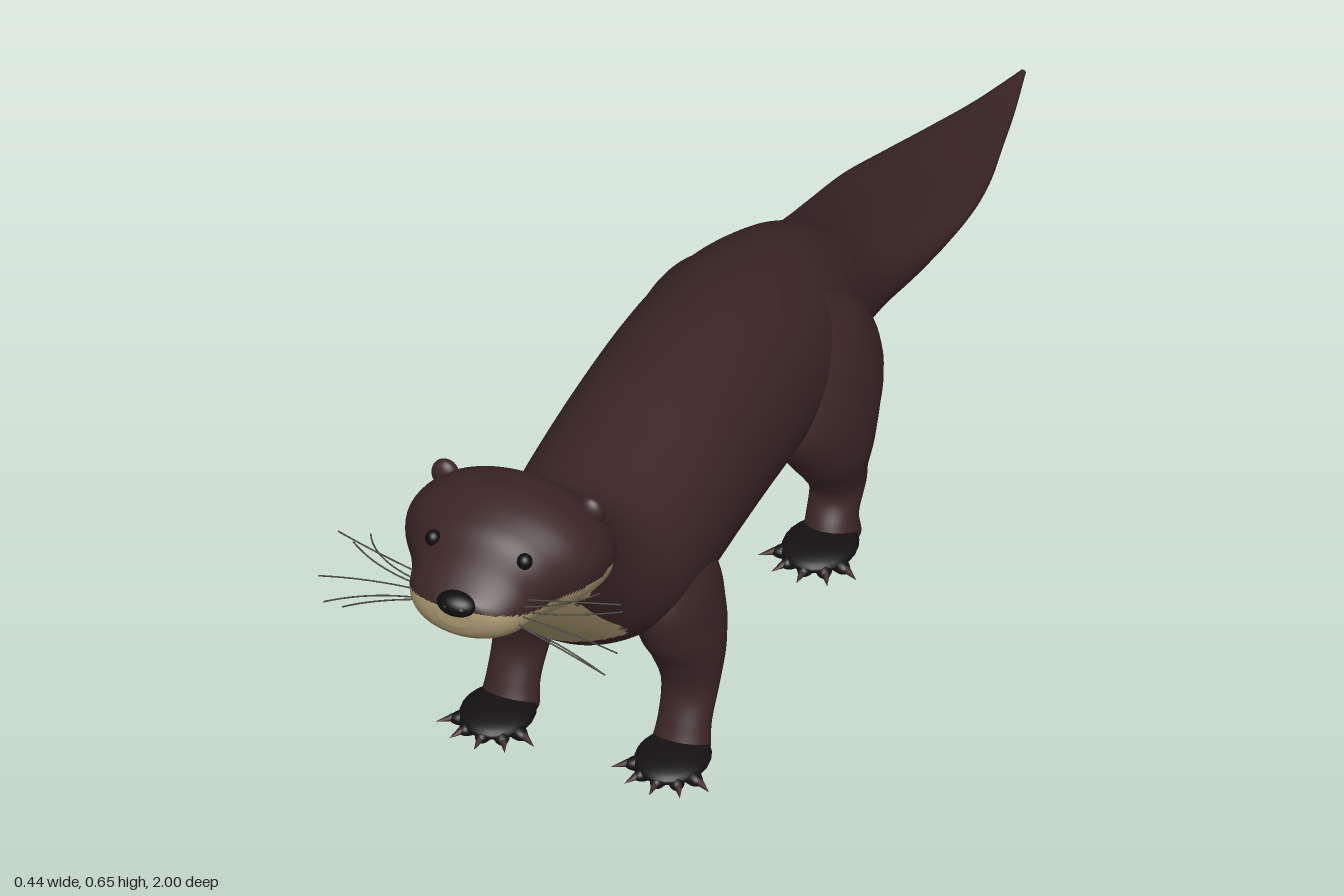
import * as THREE from 'three';

const mat = (name, color) => {
  const m = new THREE.MeshStandardMaterial({ color });
  m.name = name;
  return m;
};

// Smooth loft through elliptical sections [x, y, z, radiusX, radius2].
// plane 'xy': sections follow +z; plane 'xz': sections follow +y.
// pick(x, y, z) chooses the material index of each face.
function loft(sections, plane, rings, sides, pick = () => 0) {
  const centre = new THREE.CatmullRomCurve3(sections.map(s => new THREE.Vector3(s[0], s[1], s[2])), false, 'catmullrom');
  const radius = new THREE.CatmullRomCurve3(sections.map(s => new THREE.Vector3(s[3], s[4], 0)), false, 'catmullrom');
  const pos = [];
  for (let i = 0; i <= rings; i++) {
    const c = centre.getPoint(i / rings), r = radius.getPoint(i / rings);
    for (let j = 0; j < sides; j++) {
      const a = (j / sides) * Math.PI * 2;
      const u = Math.cos(a) * r.x, v = Math.sin(a) * r.y;
      if (plane === 'xy') pos.push(c.x + u, c.y + v, c.z);
      else pos.push(c.x + u, c.y, c.z - v);
    }
  }
  const first = pos.length / 3, last = first + 1;
  pos.push(...sections[0].slice(0, 3), ...sections[sections.length - 1].slice(0, 3));

  const faces = [[], []];
  const tri = (...ids) => {
    const mid = [0, 1, 2].map(k => ids.reduce((sum, id) => sum + pos[id * 3 + k], 0) / 3);
    faces[pick(...mid)].push(...ids);
  };
  for (let j = 0; j < sides; j++) {
    const n = (j + 1) % sides, end = rings * sides;
    for (let i = 0; i < rings; i++) {
      const a = i * sides + j, b = i * sides + n;
      tri(a, b, a + sides);
      tri(b, b + sides, a + sides);
    }
    tri(first, n, j);
    tri(last, end + j, end + n);
  }
  const geo = new THREE.BufferGeometry();
  geo.setAttribute('position', new THREE.Float32BufferAttribute(pos, 3));
  geo.setIndex([...faces[0], ...faces[1]]);
  geo.addGroup(0, faces[0].length, 0);
  geo.addGroup(faces[0].length, faces[1].length, 1);
  geo.computeVertexNormals();
  return geo;
}

// Profile rows [z, top, bottom, halfWidth] to loft sections
const profile = rows => rows.map(([z, t, b, w]) => [0, (t + b) / 2, z, w, (t - b) / 2]);

export function createModel() {
  const model = new THREE.Group();
  model.name = 'otter';
  const fur = mat('dark brown fur', 0x3b2526);
  const cream = mat('cream fur', 0xa8976f);
  const paw = mat('black paw', 0x131112);
  const black = mat('black nose and eyes', 0x0d0d0e);
  const hair = mat('grey whisker', 0x4a4942);

  const add = (name, geo, material, parent = model) => {
    const m = new THREE.Mesh(geo, material);
    m.name = name;
    parent.add(m);
    return m;
  };
  const ball = (name, material, p, s, parent) => {
    const m = add(name, new THREE.SphereGeometry(1, 24, 16), material, parent);
    m.position.set(...p);
    m.scale.set(...s);
    return m;
  };

  // Tail, trunk and neck in one skin, with a cream bib on the throat
  const bib = (x, y, z) => {
    const front = z > 0.6 && y > 0.27 && y < 0.29 + (z - 0.62);
    return (front && Math.abs(x - 0.01) < 0.097) || (z > 0.75 && y > 0.44 && y < 0.53) ? 1 : 0;
  };
  add('body', loft(profile([
    [-1, 0.076, 0.068, 0.004], [-0.9, 0.092, 0.072, 0.03], [-0.8, 0.115, 0.088, 0.055],
    [-0.7, 0.14, 0.106, 0.08], [-0.6, 0.172, 0.126, 0.098], [-0.5, 0.21, 0.134, 0.104],
    [-0.4, 0.255, 0.14, 0.104], [-0.3, 0.31, 0.146, 0.1], [-0.2, 0.378, 0.15, 0.108],
    [-0.1, 0.42, 0.153, 0.13], [0, 0.444, 0.156, 0.143], [0.1, 0.458, 0.158, 0.146],
    [0.2, 0.464, 0.16, 0.146], [0.3, 0.462, 0.161, 0.146], [0.4, 0.45, 0.166, 0.146],
    [0.5, 0.44, 0.182, 0.141], [0.55, 0.448, 0.198, 0.134], [0.6, 0.478, 0.225, 0.124],
    [0.65, 0.525, 0.266, 0.115], [0.7, 0.573, 0.313, 0.112], [0.75, 0.612, 0.37, 0.11],
    [0.79, 0.62, 0.425, 0.1], [0.83, 0.6, 0.475, 0.05],
  ]), 'xy', 190, 72, bib), [fur, cream]);

  // Head with cream cheeks, muzzle and chin
  const cheeks = (x, y, z) => (z > 0.77 && y < 0.532 + 0.33 * Math.max(0, z - 0.91) ? 1 : 0);
  add('head', loft(profile([
    [0.64, 0.5, 0.42, 0.06], [0.7, 0.573, 0.42, 0.112], [0.75, 0.628, 0.43, 0.14],
    [0.8, 0.645, 0.445, 0.146], [0.84, 0.643, 0.458, 0.136], [0.88, 0.63, 0.468, 0.111],
    [0.91, 0.613, 0.474, 0.096], [0.94, 0.597, 0.483, 0.087], [0.965, 0.582, 0.496, 0.071],
    [0.98, 0.572, 0.511, 0.05], [0.987, 0.56, 0.528, 0.025],
  ]), 'xy', 90, 72, cheeks), [fur, cream]);

  ball('nose', black, [0, 0.561, 0.976], [0.03, 0.018, 0.022]);

  // Leg sections from ankle to shoulder or hip, for the left side
  const legs = {
    front: {
      pawZ: 0.53,
      rows: [[0.127, 0.012, 0.495, 0.042, 0.035], [0.127, 0.05, 0.48, 0.038, 0.032],
        [0.125, 0.1, 0.455, 0.041, 0.041], [0.119, 0.15, 0.45, 0.051, 0.06],
        [0.11, 0.2, 0.452, 0.056, 0.085], [0.1, 0.27, 0.46, 0.052, 0.09], [0.085, 0.34, 0.46, 0.025, 0.035]],
    },
    hind: {
      pawZ: 0.015,
      rows: [[0.13, 0.012, -0.025, 0.04, 0.045], [0.128, 0.04, -0.033, 0.036, 0.038],
        [0.126, 0.075, -0.056, 0.038, 0.046], [0.124, 0.11, -0.046, 0.046, 0.054],
        [0.12, 0.165, -0.035, 0.062, 0.085], [0.11, 0.24, -0.045, 0.068, 0.135],
        [0.098, 0.32, -0.05, 0.055, 0.11], [0.085, 0.38, -0.05, 0.022, 0.04]],
    },
  };

  for (const s of [1, -1]) {
    const side = s > 0 ? 'left' : 'right';
    ball(side + 'Eye', black, [s * 0.068, 0.6, 0.902], [0.011, 0.012, 0.011]);
    ball(side + 'Ear', fur, [s * 0.108, 0.602, 0.765], [0.02, 0.023, 0.014]);
    ball(side + 'Nostril', paw, [s * 0.011, 0.562, 0.993], [0.006, 0.005, 0.004]);

    // Whiskers: start height and depth, then tip
    [[0.555, 0.93, 0.21, 0.567, 0.9], [0.55, 0.94, 0.17, 0.56, 0.88], [0.54, 0.945, 0.222, 0.515, 0.94],
      [0.535, 0.93, 0.2, 0.53, 0.87], [0.53, 0.95, 0.208, 0.485, 0.955], [0.52, 0.94, 0.195, 0.455, 0.92],
    ].forEach(([y0, z0, x1, y1, z1]) => {
      const path = new THREE.QuadraticBezierCurve3(
        new THREE.Vector3(s * 0.07, y0, z0),
        new THREE.Vector3(s * 0.14, (y0 + y1) / 2 + 0.015, z0 + 0.005),
        new THREE.Vector3(s * x1, y1, z1));
      add(side + 'Whisker', new THREE.TubeGeometry(path, 10, 0.0012, 5), hair);
    });

    for (const [kind, { pawZ, rows }] of Object.entries(legs)) {
      const leg = new THREE.Group();
      leg.name = `${side} ${kind} leg`;
      model.add(leg);
      add('leg', loft(rows.map(([x, ...rest]) => [s * x, ...rest]), 'xz', 40, 32), fur, leg);
      ball('paw', paw, [s * 0.13, 0.017, pawZ], [0.052, 0.017, 0.062], leg);
      // Five toes fanned around the paw, each with a claw
      for (let i = -2; i <= 2; i++) {
        const a = i * 0.5, dx = Math.sin(a), dz = Math.cos(a);
        const toe = ball('toe', paw, [s * 0.13 + dx * 0.045, 0.012, pawZ + dz * 0.045], [0.012, 0.011, 0.022], leg);
        toe.rotation.y = a;
        const claw = add('claw', new THREE.ConeGeometry(0.006, 0.024, 8), fur, leg);
        claw.position.set(s * 0.13 + dx * 0.075, 0.011, pawZ + dz * 0.072);
        claw.rotation.set(Math.PI / 2 + 0.15, a, 0, 'YXZ');
      }
    }
  }
  return model;
}
